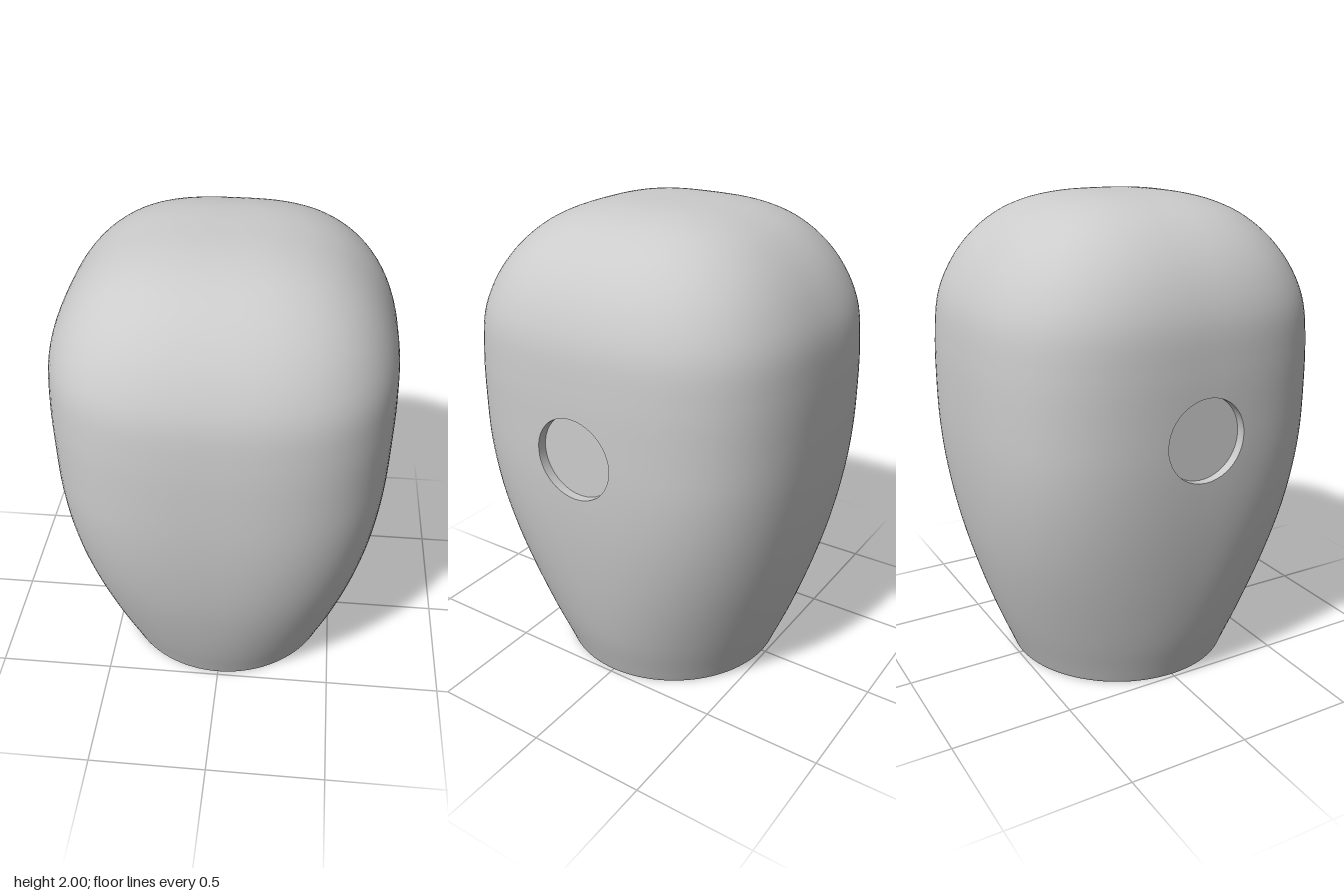
import * as THREE from 'three';
import { toCreasedNormals } from 'three/addons/utils/BufferGeometryUtils.js';

const SEG = 128;            // segments around the body
const HOLE_Y = 1.12, HOLE_R = 0.17, HOLE_FLOOR = 0.65;

// Body outline as (half width in x, y, half depth in z)
const outline = [
  [0.488, 0.012, 0.488], [0.555, 0.2, 0.562], [0.607, 0.4, 0.626], [0.646, 0.6, 0.675],
  [0.674, 0.8, 0.707], [0.69, 1.0, 0.725], [0.695, 1.2, 0.73], [0.695, 1.4, 0.725],
  [0.682, 1.57, 0.704], [0.638, 1.7, 0.65], [0.567, 1.81, 0.572], [0.468, 1.9, 0.47],
  [0.36, 1.955, 0.36], [0.24, 1.986, 0.24], [0.12, 1.998, 0.12], [0, 2, 0],
];
const curve = new THREE.CatmullRomCurve3(outline.map(p => new THREE.Vector3(...p)));
const rows = [new THREE.Vector3(0.475, 0, 0.475), new THREE.Vector3(0.484, 0.003, 0.484),
  ...curve.getSpacedPoints(76)];

// Cross-sections go from a circle at the base to a rounded square above
const power = y => 2 + 0.85 * THREE.MathUtils.smoothstep(y, 0, 1.1);

function sectionPoint(row, j) {
  const t = j / SEG * Math.PI * 2, c = Math.cos(t), s = Math.sin(t), n = power(row.y);
  const r = Math.pow(Math.abs(c) ** n + Math.abs(s) ** n, -1 / n);
  return [row.x * r * c, row.y, row.z * r * s];
}

// Height of the side surface above the plane x = 0
function sideX(y, z) {
  const i = rows.findIndex(r => r.y > y);
  const p = rows[i - 1].clone().lerp(rows[i], (y - rows[i - 1].y) / (rows[i].y - rows[i - 1].y));
  const n = power(y);
  return p.x * Math.pow(1 - (Math.abs(z) / p.z) ** n, 1 / n);
}

function makeGeometry(pos, index) {
  const g = new THREE.BufferGeometry();
  g.setAttribute('position', new THREE.Float32BufferAttribute(pos, 3));
  g.setIndex(index);
  g.computeVertexNormals();
  return g;
}

// Quads between two closed loops of vertex indices
function bridge(index, outer, inner) {
  outer.forEach((a, m) => {
    const k = (m + 1) % outer.length;
    index.push(a, inner[m], outer[k], outer[k], inner[m], inner[k]);
  });
}

function buildBody() {
  const pos = [], index = [], rims = [];
  rows.forEach(row => { for (let j = 0; j < SEG; j++) pos.push(...sectionPoint(row, j)); });
  const id = (i, j) => i * SEG + (j + SEG) % SEG;

  // Window of cells left open around each side hole
  const half = 6;
  const i0 = rows.findIndex(r => r.y > HOLE_Y - 0.235);
  const i1 = rows.findIndex(r => r.y > HOLE_Y + 0.21);
  const inWindow = (i, j) => i >= i0 && i < i1 &&
    [0, SEG / 2].some(c => (j - c + half + SEG) % SEG < 2 * half);

  for (let i = 0; i < rows.length - 1; i++) {
    for (let j = 0; j < SEG; j++) {
      if (inWindow(i, j)) continue;
      const a = id(i, j), b = id(i, j + 1), up = id(i + 1, j), upB = id(i + 1, j + 1);
      index.push(a, up, b, b, up, upB);
    }
  }

  // Rings that lead from the window's edge to the round rim
  for (const side of [1, -1]) {
    const c = side > 0 ? 0 : SEG / 2, loop = [];
    for (let j = c - half; j < c + half; j++) loop.push(id(i0, j));
    for (let i = i0; i < i1; i++) loop.push(id(i, c + half));
    for (let j = c + half; j > c - half; j--) loop.push(id(i1, j));
    for (let i = i1; i > i0; i--) loop.push(id(i, c - half));
    const start = loop.map(v => [pos[v * 3 + 1], pos[v * 3 + 2]]);
    let outer = loop, rim = [];
    for (let k = 1; k <= 3; k++) {
      rim = start.map(([y, z]) => {
        const d = Math.hypot(y - HOLE_Y, z);
        const s = THREE.MathUtils.lerp(1, HOLE_R / d, k / 3);
        const py = HOLE_Y + (y - HOLE_Y) * s, pz = z * s;
        return [side * sideX(py, pz), py, pz];
      });
      const base = pos.length / 3;
      pos.push(...rim.flat());
      const inner = rim.map((_, m) => base + m);
      bridge(index, outer, inner);
      outer = inner;
    }
    rims.push({ side, rim });
  }
  return { geometry: makeGeometry(pos, index), rims };
}

// Shallow round recess: wall and flat floor
function buildRecess({ side, rim }) {
  const n = rim.length, x = side * HOLE_FLOOR, index = [];
  const pos = [...rim.flat(), ...rim.map(p => [x, p[1], p[2]]).flat(), x, HOLE_Y, 0];
  const floor = rim.map((_, m) => n + m);
  bridge(index, rim.map((_, m) => m), floor);
  floor.forEach((a, m) => index.push(a, 2 * n, floor[(m + 1) % n]));
  return toCreasedNormals(makeGeometry(pos, index), 0.6);
}

// Underside: central boss with rounded edge, ring groove and flat foot
function buildUnderside() {
  const pts = [[0, 0.005], [0.25, 0.005]];
  for (let k = 1; k <= 6; k++) {
    const t = k / 6 * Math.PI / 2;
    pts.push([0.25 + 0.04 * Math.sin(t), 0.045 - 0.04 * Math.cos(t)]);
  }
  pts.push([0.29, 0.088], [0.4, 0.088], [0.4, 0], [0.475, 0]);
  const g = new THREE.LatheGeometry(pts.map(p => new THREE.Vector2(...p)), SEG);
  return toCreasedNormals(g, 0.6);
}

export function createModel() {
  const group = new THREE.Group();
  const material = new THREE.MeshStandardMaterial({ color: 0xcccccc });
  const add = (name, geometry) => {
    const mesh = new THREE.Mesh(geometry, material);
    mesh.name = name;
    group.add(mesh);
  };
  const { geometry, rims } = buildBody();
  add('body', geometry);
  rims.forEach(r => add(r.side > 0 ? 'leftRecess' : 'rightRecess', buildRecess(r)));
  add('underside', buildUnderside());
  return group;
}
